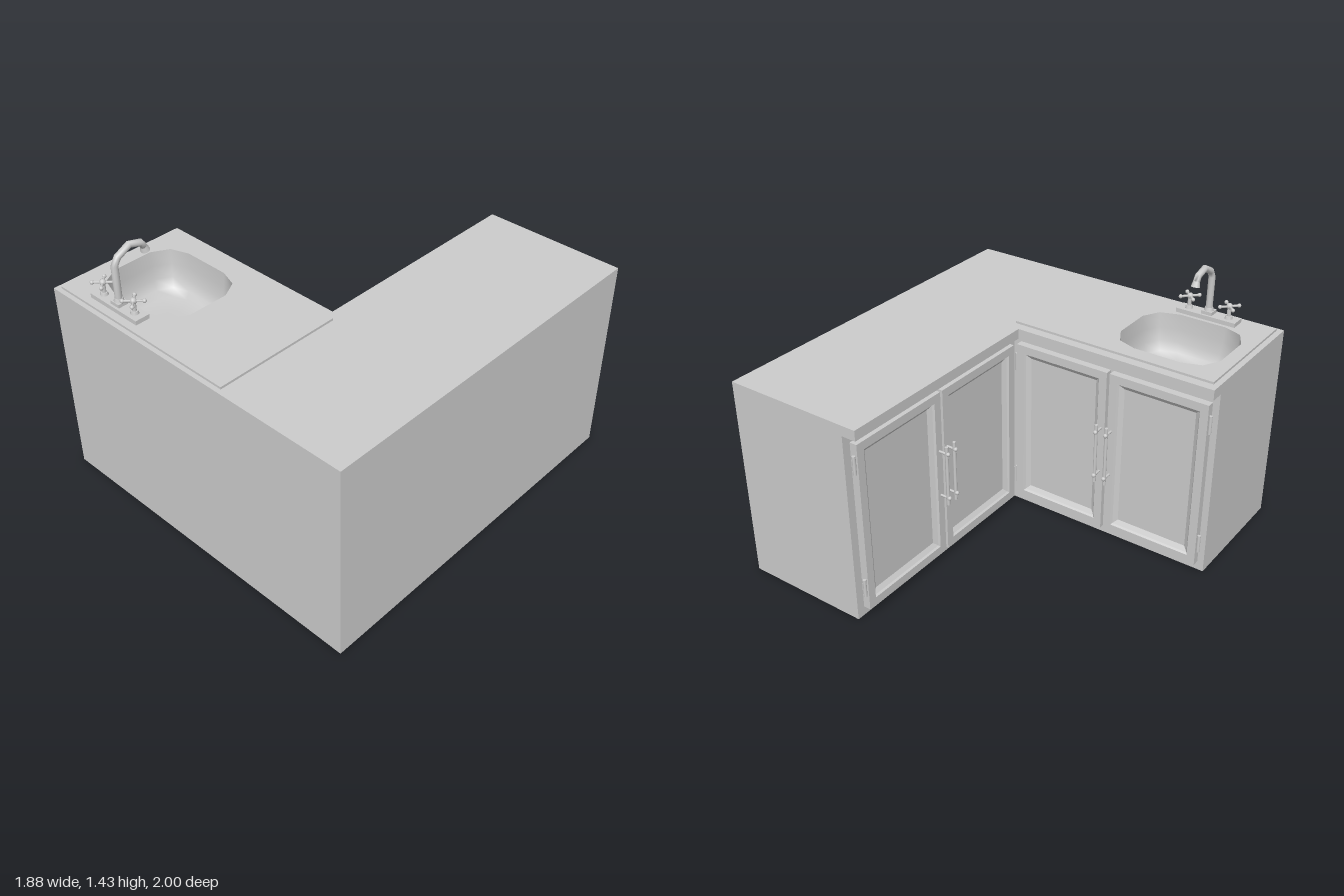
import * as THREE from 'three';

const mat = new THREE.MeshStandardMaterial({ color: 0xcccccc, side: THREE.DoubleSide });
const flat = new THREE.MeshStandardMaterial({ color: 0xcccccc, flatShading: true, side: THREE.DoubleSide });

function add(parent, name, geo, x = 0, y = 0, z = 0, material = mat) {
  const m = new THREE.Mesh(geo, material);
  m.name = name;
  m.position.set(x, y, z);
  parent.add(m);
  return m;
}

// Skin joining equal-sized loops of points, closed at the last loop
function loft(loops) {
  const n = loops[0].length, pos = loops.flat(2), idx = [];
  for (let i = 0; i < loops.length - 1; i++) {
    for (let j = 0; j < n; j++) {
      const a = i * n + j, b = i * n + (j + 1) % n;
      idx.push(a, b, b + n, a, b + n, a + n);
    }
  }
  const last = (loops.length - 1) * n;
  for (let j = 1; j < n - 1; j++) idx.push(last, last + j, last + j + 1);
  const g = new THREE.BufferGeometry();
  g.setAttribute('position', new THREE.Float32BufferAttribute(pos, 3));
  g.setIndex(idx);
  g.computeVertexNormals();
  return g;
}

// Basin outline: a rounded rectangle of twelve corners, [x, z]
const basinX = -0.56, basinZ = 0.6;
const quarter = [[0.28, 0.11], [0.23, 0.2], [0.13, 0.235]];
const rim = [
  ...quarter,
  ...quarter.map(([x, z]) => [-x, z]).reverse(),
  ...quarter.map(([x, z]) => [-x, -z]),
  ...quarter.map(([x, z]) => [x, -z]).reverse(),
];

// Horizontal slab from an [x, z] outline, optionally cut for the basin
function slab(points, y0, y1, holeScale = 0) {
  const s = new THREE.Shape(points.map(([x, z]) => new THREE.Vector2(x, -z)));
  if (holeScale) {
    s.holes.push(new THREE.Path(rim.map(([x, z]) =>
      new THREE.Vector2(basinX + x * holeScale, -basinZ - z * holeScale))));
  }
  const g = new THREE.ExtrudeGeometry(s, { depth: y1 - y0, bevelEnabled: false });
  g.rotateX(-Math.PI / 2);
  g.translate(0, y0, 0);
  return g;
}

const lShape = (innerX, innerZ) => [
  [-0.94, 1], [0.94, 1], [0.94, -1], [innerX, -1], [innerX, innerZ], [-0.94, innerZ],
];

// Framed door with a sunken panel, facing +z
function doorGeometry(w, h) {
  const steps = [[0, 0], [0, 0.04], [0.045, 0.04], [0.052, 0.03], [0.075, 0.014], [0.08, 0.014]];
  return loft(steps.map(([inset, z]) => {
    const x = w / 2 - inset, y = h / 2 - inset;
    return [[-x, -y, z], [x, -y, z], [x, y, z], [-x, y, z]];
  }));
}

// Bar handle on two posts with round ends
function makeHandle() {
  const g = new THREE.Group();
  g.name = 'doorHandle';
  add(g, 'handleBar', new THREE.CylinderGeometry(0.009, 0.009, 0.34, 8), 0, 0, 0.045);
  for (const y of [-0.13, 0.13]) {
    add(g, 'handlePost', new THREE.CylinderGeometry(0.007, 0.007, 0.055, 8), 0, y, 0.027).rotation.x = Math.PI / 2;
    add(g, 'handleKnob', new THREE.SphereGeometry(0.012, 8, 6), 0, y, 0.053);
  }
  return g;
}

// Two doors meeting in the middle, with handles and hinges
function doorPair(name, half) {
  const g = new THREE.Group();
  g.name = name;
  const w = half - 0.008;
  for (const s of [-1, 1]) {
    add(g, 'door', doorGeometry(w, 0.94), s * (0.008 + w / 2), 0.52, 0, flat);
    const handle = makeHandle();
    handle.position.set(s * 0.03, 0.535, 0.04);
    g.add(handle);
    for (const y of [0.18, 0.88]) {
      add(g, 'hinge', new THREE.CylinderGeometry(0.009, 0.009, 0.1, 8), s * (half + 0.008), y, 0.025);
    }
  }
  return g;
}

// Tap with a four-armed cross handle
function makeTap() {
  const g = new THREE.Group();
  g.name = 'tap';
  add(g, 'tapFoot', new THREE.CylinderGeometry(0.018, 0.022, 0.015, 8), 0, 0.0075, 0);
  add(g, 'tapStem', new THREE.CylinderGeometry(0.011, 0.011, 0.075, 8), 0, 0.04, 0);
  add(g, 'tapHub', new THREE.SphereGeometry(0.017, 8, 6), 0, 0.068, 0);
  for (let i = 0; i < 4; i++) {
    const a = Math.PI / 4 + i * Math.PI / 2;
    const arm = new THREE.CylinderGeometry(0.007, 0.006, 0.05, 6);
    arm.rotateZ(-Math.PI / 2);
    arm.translate(0.027, 0, 0);
    add(g, 'tapArm', arm, 0, 0.068, 0).rotation.y = a;
    add(g, 'tapArmEnd', new THREE.SphereGeometry(0.011, 8, 6), Math.cos(a) * 0.051, 0.068, Math.sin(a) * 0.051);
  }
  return g;
}

function makeFaucet() {
  const g = new THREE.Group();
  g.name = 'faucet';
  add(g, 'faucetPlate', new THREE.BoxGeometry(0.335, 0.025, 0.08), 0, 0.0125, 0);
  add(g, 'spoutBase', new THREE.BoxGeometry(0.06, 0.018, 0.055), 0, 0.034, 0);
  add(g, 'spoutCollar', new THREE.CylinderGeometry(0.021, 0.026, 0.02, 10), 0, 0.05, 0);

  // Bent spout swept through a few straight pieces
  const path = [[0.04, 0], [0.23, 0], [0.268, -0.022], [0.305, -0.092], [0.287, -0.158], [0.262, -0.172]];
  const dirs = path.map((p, i) => {
    const a = path[Math.max(i - 1, 0)], b = path[Math.min(i + 1, path.length - 1)];
    return new THREE.Vector2(b[0] - a[0], b[1] - a[1]).normalize();
  });
  const loops = path.map(([y, z], i) => {
    const ring = [];
    for (let k = 0; k < 10; k++) {
      const a = k / 10 * Math.PI * 2, c = Math.cos(a) * 0.018;
      ring.push([Math.sin(a) * 0.018, y - dirs[i].y * c, z + dirs[i].x * c]);
    }
    return ring;
  });
  add(g, 'spout', loft(loops));
  const nozzle = add(g, 'nozzle', new THREE.CylinderGeometry(0.017, 0.024, 0.03, 10), 0, 0.25, -0.176);
  nozzle.rotation.x = 0.3;

  for (const s of [-1, 1]) {
    const tap = makeTap();
    tap.position.set(s * 0.113, 0.025, 0);
    g.add(tap);
  }
  return g;
}

export function createModel() {
  const model = new THREE.Group();
  model.name = 'cornerSinkCabinet';

  // Cabinet body, opened near the top to take the basin
  const body = lShape(0.25, 0.305);
  add(model, 'cabinetBody', slab(body, 0, 0.85));
  add(model, 'cabinetUpperBody', slab(body, 0.85, 1.045, 1.02));
  add(model, 'countertop', slab(lShape(0.17, 0.23), 1.045, 1.1, 1.01));

  // Sink plate and bowl
  add(model, 'sinkPlate', slab([[-0.91, 0.975], [0.22, 0.975], [0.22, 0.28], [-0.91, 0.28]], 1.1, 1.112, 1));
  const bowl = [[1, 1.112], [0.98, 1.03], [0.94, 0.96], [0.85, 0.91], [0.7, 0.885], [0.3, 0.88]];
  add(model, 'sinkBowl', loft(bowl.map(([s, y]) =>
    rim.map(([x, z]) => [basinX + x * s, y, basinZ + z * s]))));

  const faucet = makeFaucet();
  faucet.position.set(-0.563, 1.11, 0.895);
  model.add(faucet);

  // Doors on the two inner faces of the corner
  const sinkDoors = doorPair('sinkDoors', 0.555);
  sinkDoors.position.set(-0.35, 0, 0.305);
  sinkDoors.rotation.y = Math.PI;
  const sideDoors = doorPair('sideDoors', 0.6);
  sideDoors.position.set(0.25, 0, -0.355);
  sideDoors.rotation.y = -Math.PI / 2;
  model.add(sinkDoors, sideDoors);

  return model;
}
